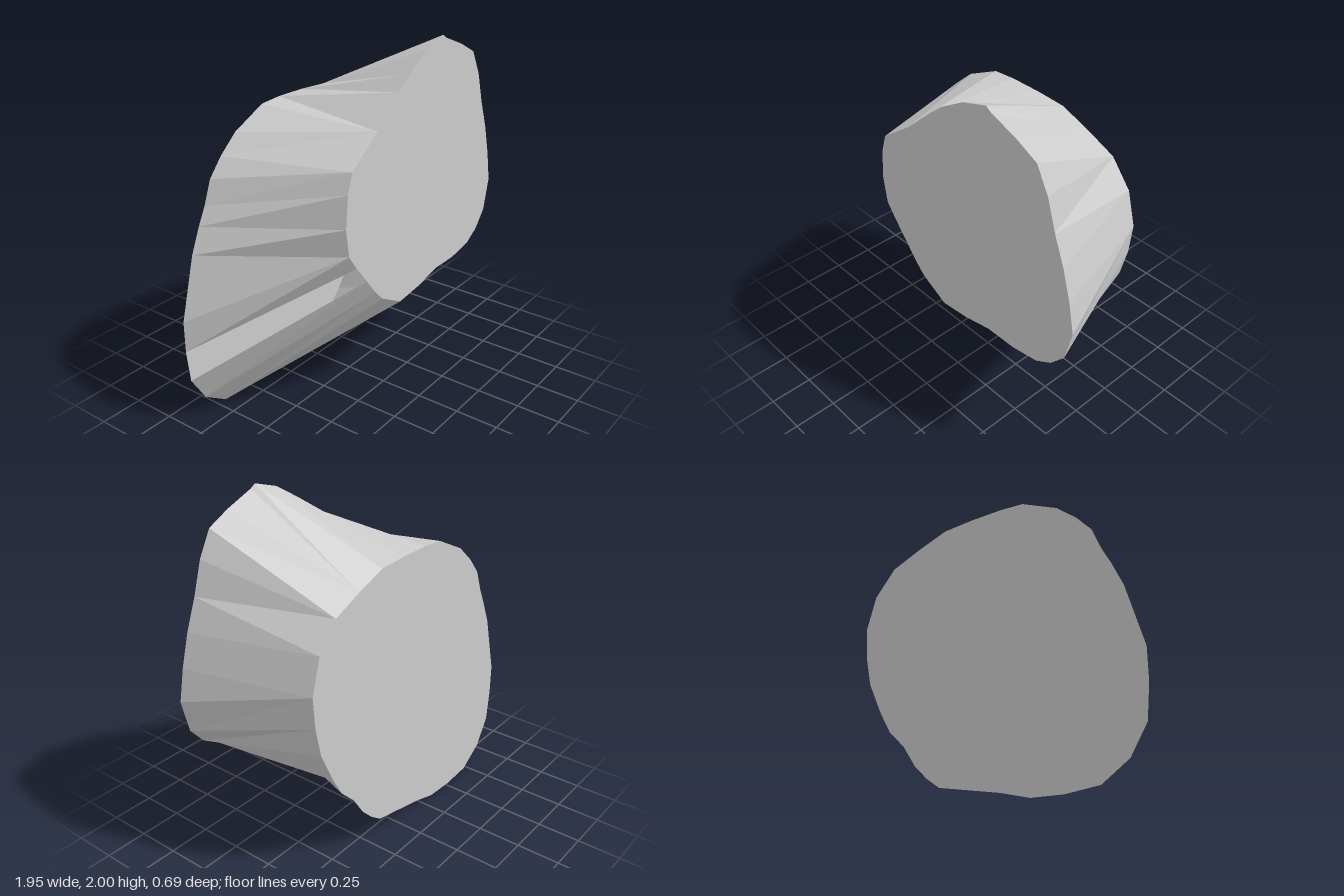
import * as THREE from 'three';

const HALF_DEPTH = 0.347;

// Outlines run counter-clockwise as seen from the front, starting at the top left
const frontOutline = [
  [-0.23, 1.62], [-0.44, 1.47], [-0.475, 1.36], [-0.49, 1.18], [-0.465, 1.02], [-0.4, 0.93], [-0.31, 0.82],
  [-0.23, 0.72], [-0.165, 0.655], [0.01, 0.56], [0.2, 0.58], [0.38, 0.62], [0.57, 0.62], [0.74, 0.65],
  [0.84, 0.71], [0.925, 0.81], [0.97, 1.0], [0.935, 1.18], [0.885, 1.36], [0.82, 1.53], [0.765, 1.71],
  [0.69, 1.85], [0.56, 1.915], [0.39, 1.98], [0.36, 2.0], [0.2, 1.95], [0.04, 1.855], [-0.05, 1.78],
];
const backOutline = [
  [-0.17, 1.67], [-0.31, 1.66], [-0.52, 1.56], [-0.635, 1.46], [-0.72, 1.36], [-0.77, 1.23], [-0.82, 1.13],
  [-0.88, 0.99], [-0.975, 0.64], [-0.975, 0.46], [-0.955, 0.27], [-0.86, 0.115], [-0.71, 0.015], [-0.52, 0],
  [-0.34, 0.01], [-0.17, 0.06], [0.19, 0.14], [0.27, 0.2], [0.35, 0.28], [0.43, 0.4], [0.53, 0.5],
  [0.6, 0.62], [0.69, 0.81], [0.73, 0.985], [0.745, 1.165], [0.69, 1.364], [0.566, 1.515], [0.39, 1.59],
  [0.205, 1.657], [0.02, 1.668],
];

// Matching corners: [front index, back index]
const anchors = [
  [0, 0], [1, 3], [2, 5], [4, 7], [5, 9], [6, 10], [8, 12], [9, 13], [10, 16], [11, 19], [12, 21],
  [14, 22], [16, 24], [18, 25], [20, 26], [22, 27], [25, 28], [27, 29], [28, 30],
];
const GAP = 4; // the stretch of side wall left open

const material = new THREE.MeshStandardMaterial({
  color: 0xcccccc, flatShading: true, side: THREE.DoubleSide,
});

function makeCap(name, outline, z, facing) {
  const shape = new THREE.Shape(outline.map(([x, y]) => new THREE.Vector2(x * facing, y)));
  const mesh = new THREE.Mesh(new THREE.ShapeGeometry(shape), material);
  mesh.name = name;
  mesh.position.z = z;
  if (facing < 0) mesh.rotation.y = Math.PI;
  return mesh;
}

// Stitch the two outlines together with triangles between matching corners
function makeWall() {
  const positions = [];
  const front = (i) => [...frontOutline[i % frontOutline.length], HALF_DEPTH];
  const back = (i) => [...backOutline[i % backOutline.length], -HALF_DEPTH];

  for (let s = 0; s < anchors.length - 1; s++) {
    if (s === GAP) continue;
    let [f, b] = anchors[s];
    const [f0, b0] = anchors[s];
    const [f1, b1] = anchors[s + 1];
    while (f < f1 || b < b1) {
      const nextFront = (f + 1 - f0) / (f1 - f0);
      const nextBack = (b + 1 - b0) / (b1 - b0);
      if (b === b1 || (f < f1 && nextFront < nextBack)) {
        positions.push(...front(f), ...back(b), ...front(f + 1));
        f++;
      } else {
        positions.push(...front(f), ...back(b), ...back(b + 1));
        b++;
      }
    }
  }
  const geometry = new THREE.BufferGeometry();
  geometry.setAttribute('position', new THREE.Float32BufferAttribute(positions, 3));
  geometry.computeVertexNormals();
  const mesh = new THREE.Mesh(geometry, material);
  mesh.name = 'sideWall';
  return mesh;
}

export function createModel() {
  const group = new THREE.Group();
  group.name = 'slantedBlock';
  group.add(
    makeCap('frontFace', frontOutline, HALF_DEPTH, 1),
    makeCap('backFace', backOutline, -HALF_DEPTH, -1),
    makeWall(),
  );
  return group;
}
